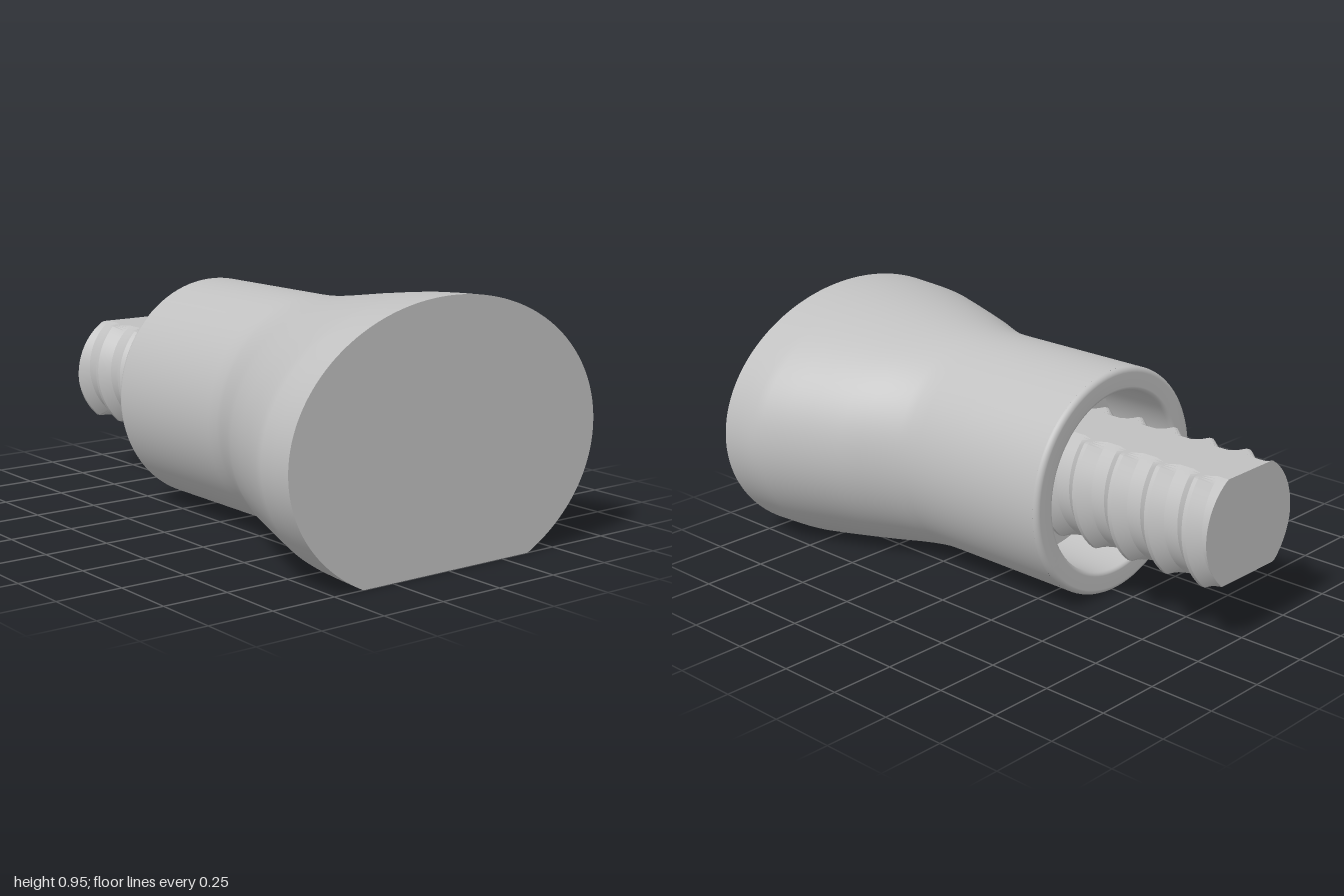
import * as THREE from 'three';
import { toCreasedNormals } from 'three/addons/utils/BufferGeometryUtils.js';

const CY = 0.433;                       // height of the long axis
const NECK = 0.433, BORE = 0.345;       // socket outer and inner radius
const BACK = -0.41, FLOOR = -0.1;       // socket rim and socket floor

// Smooth surface from a rule; u runs counter-clockwise seen from +z, v runs along +z
function grid(nu, nv, rule) {
  const pos = [], index = [];
  for (let i = 0; i <= nu; i++)
    for (let j = 0; j <= nv; j++) pos.push(...rule(i, j));
  for (let i = 0; i < nu; i++)
    for (let j = 0; j < nv; j++) {
      const a = i * (nv + 1) + j, b = a + nv + 1;
      index.push(a, b, a + 1, b, b + 1, a + 1);
    }
  const g = new THREE.BufferGeometry();
  g.setAttribute('position', new THREE.Float32BufferAttribute(pos, 3));
  g.setIndex(index);
  g.computeVertexNormals();
  return g;
}

// Body stations: z, half width, half height
const STATIONS = [
  [BACK + 0.02, NECK, NECK], [0, NECK, NECK], [0.19, NECK, NECK], [0.25, 0.437, 0.434],
  [0.29, 0.45, 0.436], [0.35, 0.477, 0.441], [0.42, 0.512, 0.45], [0.5, 0.555, 0.462],
  [0.61, 0.599, 0.479], [0.72, 0.643, 0.494], [0.81, 0.678, 0.505], [0.85, 0.686, 0.508],
  [0.92, 0.688, 0.513], [1, 0.69, 0.517],
];
const clipAngle = (b) => Math.asin(Math.min(1, CY / b));

function bodyPoint(t, [z, a, b]) {
  const c = clipAngle(b);
  const angle = -c + t * (Math.PI + 2 * c);
  return [a * Math.cos(angle), Math.max(0, CY + b * Math.sin(angle)), z];
}

// Thread: ridge height follows a single helix, two flats cut the rod
const PITCH = 0.165, PHASE = -0.6, ROOT = 0.228, CREST = 0.262, FLAT = 0.197;
const STEPS = [-0.5, -0.32, -0.05, 0.05, 0.32];

function rodPoint(angle, z) {
  let u = (z - PHASE) / PITCH - angle / (2 * Math.PI);
  u = Math.abs(u - Math.round(u));
  const r = ROOT + (CREST - ROOT) * THREE.MathUtils.clamp((0.32 - u) / 0.27, 0, 1);
  return [r * Math.cos(angle), CY + 0.004 + THREE.MathUtils.clamp(r * Math.sin(angle), -FLAT, FLAT), z];
}

export function createModel() {
  const group = new THREE.Group();
  const grey = new THREE.MeshStandardMaterial({ color: 0xc0c0c0 });
  grey.name = 'grey';
  const add = (name, geometry) => {
    const mesh = new THREE.Mesh(geometry, grey);
    mesh.name = name;
    group.add(mesh);
    return mesh;
  };

  // Flared body with a flat underside
  const last = STATIONS.length - 1;
  add('bodyShell', grid(120, last, (i, j) => bodyPoint(i / 120, STATIONS[j])));
  add('bodyUnderside', grid(1, last, (i, j) => {
    const [z, a, b] = STATIONS[j];
    return [(i ? 1 : -1) * a * Math.cos(clipAngle(b)), 0, z];
  }));

  // Flat front face
  const outline = [];
  for (let i = 0; i <= 120; i++) {
    const [x, y] = bodyPoint(i / 120, STATIONS[last]);
    outline.push(new THREE.Vector2(x, y));
  }
  add('frontFace', new THREE.ShapeGeometry(new THREE.Shape(outline)).translate(0, 0, 1));

  // Socket: floor, bore wall and rounded rim
  const lathe = (name, points) => {
    const g = new THREE.LatheGeometry(points.map(([r, z]) => new THREE.Vector2(r, z)), 96);
    add(name, g.rotateX(Math.PI / 2).translate(0, CY, 0));
  };
  lathe('socketFloor', [[0, FLOOR], [BORE, FLOOR]]);
  lathe('socketWall', [[BORE, FLOOR], [BORE, BACK + 0.015]]);
  const rim = [];
  for (let i = 0; i <= 4; i++) {
    const t = (i / 4) * Math.PI / 2;
    rim.push([BORE + 0.015 * (1 - Math.cos(t)), BACK + 0.015 * (1 - Math.sin(t))]);
  }
  for (let i = 0; i <= 5; i++) {
    const t = (i / 5) * Math.PI / 2;
    rim.push([NECK - 0.02 * (1 - Math.sin(t)), BACK + 0.02 * (1 - Math.cos(t))]);
  }
  lathe('socketRim', rim);

  // Threaded rod: columns follow the helix and are trimmed at both ends
  const seg = 120, turns = 8, first = -4;
  const rod = grid(seg, turns * STEPS.length, (i, j) => {
    const angle = -Math.PI + (i / seg) * 2 * Math.PI;
    const turn = first + Math.floor(j / STEPS.length) + STEPS[j % STEPS.length];
    const z = PHASE + PITCH * (turn + angle / (2 * Math.PI));
    return rodPoint(angle, THREE.MathUtils.clamp(z, -1, FLOOR));
  });
  add('threadedRod', toCreasedNormals(rod, 0.35));

  // Rod end face, turned to the back
  const end = [];
  for (let i = 0; i < seg; i++) {
    const [x, y] = rodPoint(-Math.PI + (i / seg) * 2 * Math.PI, -1);
    end.push(new THREE.Vector2(-x, y));
  }
  add('rodEnd', new THREE.ShapeGeometry(new THREE.Shape(end)).rotateY(Math.PI).translate(0, 0, -1));

  return group;
}
